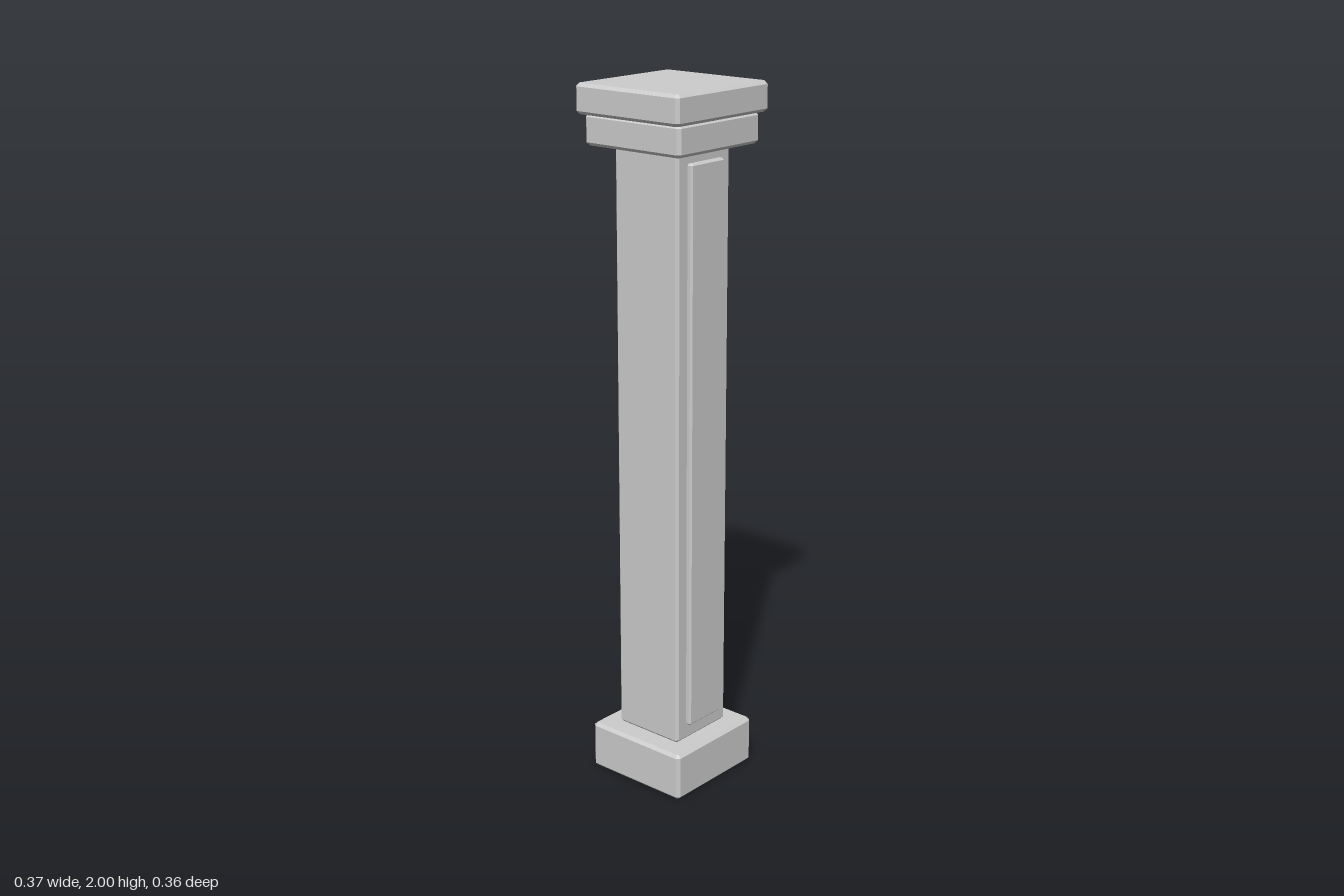
import * as THREE from 'three';

const stone = new THREE.MeshStandardMaterial({ color: 0xcccccc });
stone.name = 'pale grey stone';

// Box with cut vertical corners and a chamfer round top and bottom, standing from y0 to y1
function chamferedBlock(name, width, depth, y0, y1, chamfer, z = 0) {
  const x = width / 2, d = depth / 2, c = chamfer;
  const outline = new THREE.Shape([
    [x - c, -d], [x, -d + c], [x, d - c], [x - c, d],
    [-x + c, d], [-x, d - c], [-x, -d + c], [-x + c, -d],
  ].map(([a, b]) => new THREE.Vector2(a, b)));
  const geometry = new THREE.ExtrudeGeometry(outline, {
    depth: y1 - y0 - 2 * c,
    bevelEnabled: true,
    bevelSegments: 1,
    bevelSize: c,
    bevelThickness: c,
    bevelOffset: -c,
  });
  geometry.rotateX(-Math.PI / 2);
  geometry.translate(0, y0 + c, z);
  const mesh = new THREE.Mesh(geometry, stone);
  mesh.name = name;
  return mesh;
}

export function createModel() {
  const pillar = new THREE.Group();
  pillar.name = 'pillar';
  pillar.add(
    chamferedBlock('base', 0.33, 0.33, 0, 0.14, 0.009),
    chamferedBlock('shaft', 0.216, 0.222, 0.14, 1.84, 0.008),
    // raised panel on the front of the shaft
    chamferedBlock('frontPanel', 0.136, 0.03, 0.187, 1.805, 0.005, 0.111),
    chamferedBlock('lowerCapital', 0.33, 0.33, 1.835, 1.92, 0.009),
    chamferedBlock('upperCapital', 0.372, 0.358, 1.918, 2, 0.009),
  );
  return pillar;
}
